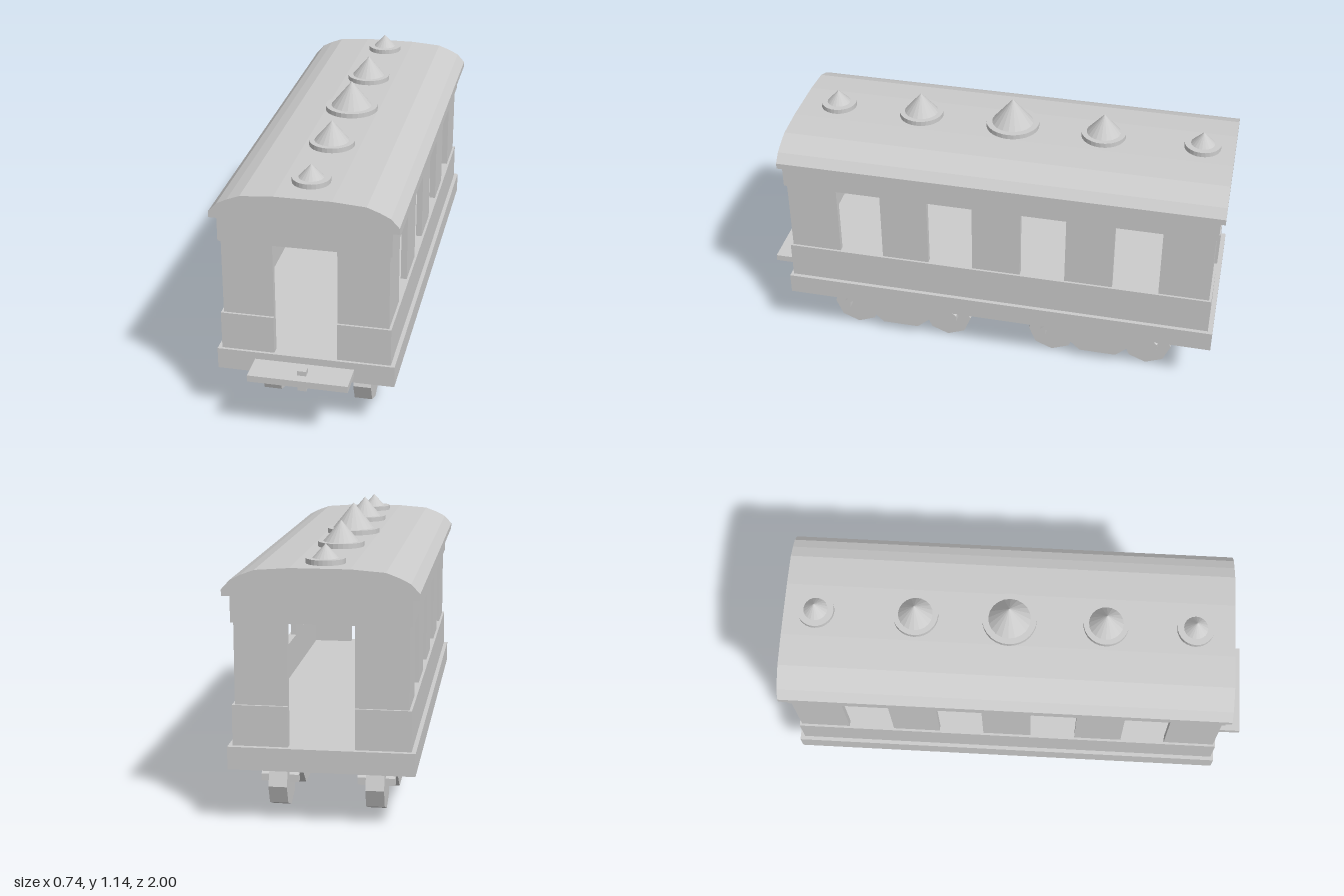
import * as THREE from 'three';

const mat = new THREE.MeshStandardMaterial({ color: 0xcccccc, flatShading: true });
const MID = -0.06; // middle of the carriage body along z

export function createModel() {
  const model = new THREE.Group();

  const add = (name, geometry, parent = model) => {
    const mesh = new THREE.Mesh(geometry, mat);
    mesh.name = name;
    parent.add(mesh);
    return mesh;
  };
  // Box given by its limits on each axis
  const box = (name, x0, x1, y0, y1, z0, z1, parent) => {
    const mesh = add(name, new THREE.BoxGeometry(x1 - x0, y1 - y0, z1 - z0), parent);
    mesh.position.set((x0 + x1) / 2, (y0 + y1) / 2, (z0 + z1) / 2);
    return mesh;
  };
  const polygon = (points) => new THREE.Shape(points.map(([x, y]) => new THREE.Vector2(x, y)));

  // Floor
  box('floor', -0.36, 0.36, 0.23, 0.32, -1, 0.875);

  // Lower walls, window posts and corner posts; both ends have a doorway
  const inX = 0.308, front = 0.828, back = -0.945, door = 0.128;
  for (const s of [-1, 1]) {
    const side = (name, out, y0, y1, z0, z1) =>
      box(name, Math.min(s * inX, s * out), Math.max(s * inX, s * out), y0, y1, z0, z1);
    const end = (name, out, y0, y1, z0, z1) =>
      box(name, Math.min(s * door, s * out), Math.max(s * door, s * out), y0, y1, z0, z1);

    side('lowerSideWall', 0.343, 0.32, 0.48, back, front);
    end('lowerFrontWall', 0.343, 0.32, 0.48, front, 0.863);
    end('lowerBackWall', 0.343, 0.32, 0.48, -0.98, back);

    for (const [z0, z1] of [[0.636, front], [0.24, 0.444], [-0.163, 0.045], [-0.56, -0.356], [back, -0.757]])
      side('windowPost', 0.333, 0.48, 0.8, z0, z1);
    end('frontCornerPost', 0.333, 0.48, 0.8, front, 0.853);
    end('backCornerPost', 0.333, 0.48, 0.8, -0.97, back);

    side('upperSideBand', 0.343, 0.8, 0.905, back, front);
  }
  box('upperFrontBand', -0.343, 0.343, 0.8, 0.905, front, 0.863);
  box('upperBackBand', -0.343, 0.343, 0.8, 0.905, -0.98, back);

  // Arched roof
  const half = [[0.371, 0.904], [0.371, 0.929], [0.338, 0.965], [0.296, 0.986], [0.245, 1.005], [0.113, 1.015]];
  const arch = [...half, ...half.map(([x, y]) => [-x, y]).reverse()];
  add('roof', new THREE.ExtrudeGeometry(polygon(arch), { depth: 1.875, bevelEnabled: false })).position.z = -1;

  // Roof vents: a round plate under a cone, largest in the middle
  for (const [dz, plateR, coneR, top] of [
    [0, 0.113, 0.088, 1.143], [0.4, 0.094, 0.072, 1.12], [-0.39, 0.094, 0.072, 1.12],
    [0.77, 0.076, 0.05, 1.088], [-0.805, 0.076, 0.05, 1.088],
  ]) {
    const vent = new THREE.Group();
    vent.name = 'roofVent';
    vent.position.set(-0.003, 0, MID + dz);
    model.add(vent);
    add('ventPlate', new THREE.CylinderGeometry(plateR, plateR, 0.03, 28), vent).position.y = 1.02;
    add('ventCone', new THREE.ConeGeometry(coneR, top - 1.035, 20), vent).position.y = (top + 1.035) / 2;
  }

  // Bogies: hooked frame, post up to the floor and two eight-sided wheels
  const halfFrame = [[0.08, 0.05], [0.185, 0.147], [0.222, 0.147], [0.237, 0.135], [0.237, 0.11],
    [0.262, 0.11], [0.262, 0.14], [0.225, 0.172]].map(([z, y]) => [z > 0.1 ? z - 0.001 : z, y]);
  const framePoints = [...halfFrame, ...halfFrame.map(([z, y]) => [-z, y]).reverse()];
  const frameGeo = new THREE.ExtrudeGeometry(polygon(framePoints), { depth: 0.15, bevelEnabled: false });
  frameGeo.translate(0, 0, -0.075).rotateY(Math.PI / 2);
  const wheelGeo = new THREE.CylinderGeometry(0.106, 0.106, 0.074, 8).rotateZ(Math.PI / 2);

  for (const x of [-0.186, 0.2])
    for (const z of [0.398, -0.508]) {
      const bogie = new THREE.Group();
      bogie.name = 'bogie';
      bogie.position.set(x, 0, z);
      model.add(bogie);
      add('bogieFrame', frameGeo, bogie);
      box('bogiePost', -0.026, 0.026, 0.165, 0.235, -0.08, 0.08, bogie);
      for (const s of [-1, 1]) add('wheel', wheelGeo, bogie).position.set(0, 0.106, s * 0.212);
    }

  // Coupling plate and pin at the front
  box('couplingPlate', -0.205, 0.199, 0.262, 0.29, 0.87, 1);
  box('couplingPin', -0.012, 0.024, 0.22, 0.31, 0.922, 0.96);

  return model;
}
